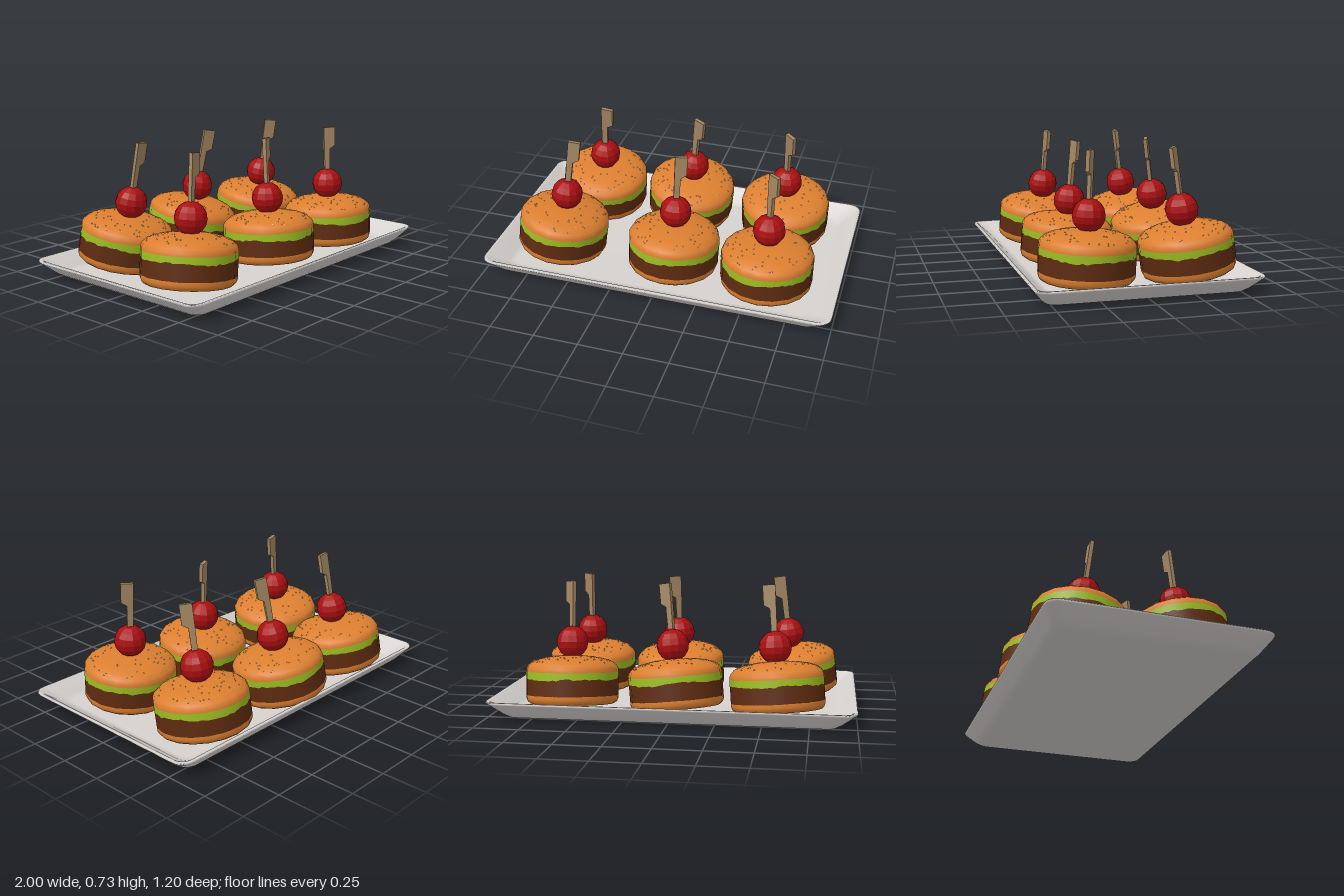
import * as THREE from 'three';
import { mergeGeometries } from 'three/addons/utils/BufferGeometryUtils.js';

const SIDES = 18, R = 0.257;
const mat = (name, color, extra = {}) => {
  const m = new THREE.MeshStandardMaterial({ color, ...extra });
  m.name = name;
  return m;
};
const mats = {
  plate: mat('plate grey', 0xd6d2cf),
  bun: mat('bun orange', 0xdc7f30),
  patty: mat('patty brown', 0x5e2b10),
  lettuce: mat('lettuce green', 0x9cbc22, { side: THREE.DoubleSide }),
  tomato: mat('tomato red', 0xab0f11, { flatShading: true }),
  wood: mat('stick wood', 0xa48763),
  seed: mat('seed cream', 0xe6ddcd),
};

// Small seeded random numbers
function seeded(s) {
  return () => (s = (s * 16807) % 2147483647) / 2147483647;
}

function part(parent, name, geometry, material) {
  const mesh = new THREE.Mesh(geometry, material);
  mesh.name = name;
  parent.add(mesh);
  return mesh;
}

const lathe = pts => new THREE.LatheGeometry(pts.map(p => new THREE.Vector2(...p)), SIDES);

// Shallow tray: rounded rectangles stacked from the underside, over the rim, to the floor
function plateGeometry() {
  const loops = [ // half x, half z, y, corner radius
    [0, 0, 0, 0], [0.86, 0.49, 0, 0.05], [0.895, 0.525, 0.006, 0.06], [0.925, 0.548, 0.026, 0.065],
    [0.995, 0.595, 0.086, 0.07], [1, 0.6, 0.094, 0.07], [0.996, 0.596, 0.1, 0.067],
    [0.98, 0.58, 0.098, 0.06], [0.89, 0.51, 0.036, 0.06], [0.85, 0.47, 0.025, 0.06], [0, 0, 0.025, 0],
  ];
  const steps = 6, n = 4 * (steps + 1), pos = [], index = [];
  for (const [hx, hz, y, r] of loops) {
    for (let c = 0; c < 4; c++) {
      const sx = c === 0 || c === 3 ? 1 : -1, sz = c < 2 ? 1 : -1;
      for (let k = 0; k <= steps; k++) {
        const a = (c + k / steps) * Math.PI / 2;
        pos.push(sx * (hx - r) + r * Math.cos(a), y, sz * (hz - r) + r * Math.sin(a));
      }
    }
  }
  for (let l = 0; l < loops.length - 1; l++) {
    for (let i = 0; i < n; i++) {
      const a = l * n + i, b = l * n + (i + 1) % n;
      index.push(a, a + n, b, b, a + n, b + n);
    }
  }
  const g = new THREE.BufferGeometry();
  g.setAttribute('position', new THREE.Float32BufferAttribute(pos, 3));
  g.setIndex(index);
  g.computeVertexNormals();
  return g;
}

// Top bun profile, from the edge to the crown
const dome = [[R, 0.172], [R, 0.192], [0.247, 0.212], [0.222, 0.232],
  [0.18, 0.247], [0.12, 0.258], [0.06, 0.264], [0, 0.266]];

function domeHeight(r) {
  const i = dome.findIndex(p => p[0] <= r);
  const [r1, y1] = dome[i], [r0, y0] = dome[i - 1];
  return y1 + (y0 - y1) * (r - r1) / (r0 - r1);
}

// Band round the side with a ragged lower edge
function lettuceGeometry(rand) {
  const segs = SIDES * 4;
  const g = new THREE.CylinderGeometry(R, R, 0.04, segs, 1, true);
  const p = g.attributes.position;
  const drop = Array.from({ length: segs }, () => (rand() - 0.5) * 0.01);
  for (let i = 0; i < p.count; i++) {
    const k = i % (segs + 1), sector = 2 * Math.PI / SIDES;
    const s = (k % 4) / 4 * sector - sector / 2;
    const f = 1.004 * Math.cos(sector / 2) / Math.cos(s);
    const wave = 0.004 * Math.sin(k * sector) + drop[k % segs];
    p.setXYZ(i, p.getX(i) * f, p.getY(i) < 0 ? 0.137 + wave : 0.176, p.getZ(i) * f);
  }
  return g;
}

function seedsGeometry(rand) {
  const list = [];
  for (let i = 0; i < 60; i++) {
    const r = 0.07 + 0.165 * Math.sqrt(rand()), a = rand() * Math.PI * 2;
    const g = new THREE.OctahedronGeometry(0.0042);
    g.translate(r * Math.cos(a), domeHeight(r), r * Math.sin(a));
    list.push(g);
  }
  return mergeGeometries(list);
}

// Flat pick with a paddle at the top, offset to one side
function stickGeometry() {
  const s = new THREE.Shape();
  [[-0.014, 0.3], [0.014, 0.3], [0.018, 0.55], [0.05, 0.57], [0.05, 0.68], [-0.019, 0.68], [-0.018, 0.55]]
    .forEach(([x, y], i) => (i ? s.lineTo(x, y) : s.moveTo(x, y)));
  return new THREE.ExtrudeGeometry(s, { depth: 0.022, bevelEnabled: false }).translate(0, 0, -0.011);
}

function slider(seed) {
  const g = new THREE.Group(), rand = seeded(seed * 7919 + 13);
  g.name = 'slider';
  part(g, 'bottomBun', lathe([[0, 0], [0.235, 0], [0.25, 0.012], [R, 0.03], [R, 0.048]]), mats.bun);
  part(g, 'patty', new THREE.CylinderGeometry(R, R, 0.1, SIDES).translate(0, 0.097, 0), mats.patty);
  part(g, 'lettuce', lettuceGeometry(rand), mats.lettuce);
  part(g, 'topBun', lathe(dome), mats.bun);
  part(g, 'seeds', seedsGeometry(rand), mats.seed);
  part(g, 'tomato', new THREE.SphereGeometry(0.09, 12, 8).translate(0, 0.34, 0), mats.tomato);
  return g;
}

export function createModel() {
  const model = new THREE.Group();
  model.name = 'sliderPlatter';
  part(model, 'plate', plateGeometry(), mats.plate);

  // x, y, z, lean to the front, lean to +x, turn of the stick (degrees)
  const deg = Math.PI / 180;
  [
    [-0.58, 0.055, -0.335, 8.5, 4.5, 0],
    [-0.03, 0.057, -0.355, 8.5, 6, -25],
    [0.57, 0.055, -0.33, 8.5, 1, -40],
    [-0.645, 0.055, 0.23, -3, 7, 10],
    [0.035, 0.045, 0.228, -4.5, 1.5, 20],
    [0.585, 0.045, 0.247, -2.5, 0, -35],
  ].forEach(([x, y, z, front, side, turn], i) => {
    const s = slider(i + 1);
    s.position.set(x, y, z);
    s.rotation.set(front * deg, 0, -side * deg);
    part(s, 'stick', stickGeometry(), mats.wood).rotation.y = turn * deg;
    model.add(s);
  });
  return model;
}
